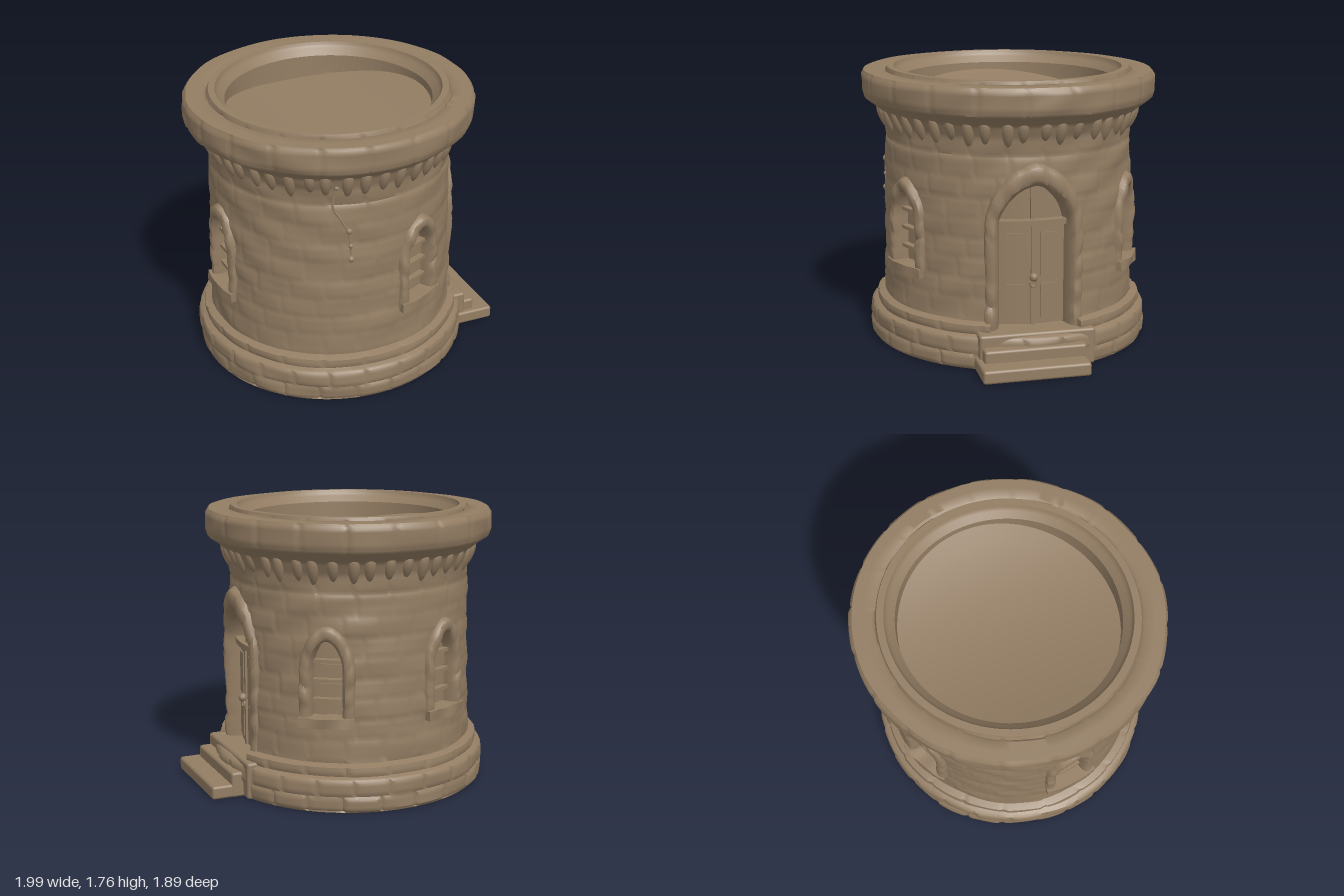
import * as THREE from 'three';
import { mergeVertices, toCreasedNormals } from 'three/addons/utils/BufferGeometryUtils.js';
import { RoundedBoxGeometry } from 'three/addons/geometries/RoundedBoxGeometry.js';

const stone = new THREE.MeshStandardMaterial({ color: 0x937d63 });
stone.name = 'stone';
const rad = THREE.MathUtils.degToRad;

// Angles run from the front (+z) towards the model's left (+x).
const WINDOWS = [56, -51, -123, 178].map(rad);
const DOOR = rad(120.5);
const STRETCH = 0.96; // the tower is slightly narrower across x
const CENTRE_X = -0.093;

const hash = (a, b) => {
  const s = Math.sin(a * 127.1 + b * 311.7) * 43758.5453;
  return s - Math.floor(s);
};
const lumps = (x, y, z) =>
  Math.sin(x * 9 + y * 4) * Math.sin(y * 11 + z * 5) * 0.6 + Math.sin(z * 17 + x * 8 + y * 13) * 0.4;

function mesh(name, geometry, parent) {
  const m = new THREE.Mesh(geometry, stone);
  m.name = name;
  parent.add(m);
  return m;
}

// Move every vertex by a rule
function deform(geometry, rule) {
  const p = geometry.attributes.position;
  const v = new THREE.Vector3();
  for (let i = 0; i < p.count; i++) {
    rule(v.fromBufferAttribute(p, i));
    p.setXYZ(i, v.x, v.y, v.z);
  }
  return geometry;
}

function crease(geometry, angle = 0.7) {
  geometry.deleteAttribute('normal');
  geometry.deleteAttribute('uv');
  return toCreasedNormals(mergeVertices(geometry, 1e-5), angle);
}

// Wrap a flat part around the tower: x becomes arc length, z becomes radius
function wrap(geometry, angle, wobble = 0) {
  return crease(deform(geometry, (v) => {
    const a = angle + v.x / 0.8;
    const r = v.z + wobble * lumps(v.x * 3 + angle, v.y * 2.5, v.z);
    v.set(r * Math.sin(a), v.y + wobble * 0.6 * lumps(v.y, v.x * 3, angle), r * Math.cos(a));
  }));
}

function wrappedBox(name, parent, angle, [x, y, r], [w, h, d], wobble = 0) {
  const g = new THREE.BoxGeometry(w, h, d, Math.ceil(w / 0.04), Math.ceil(h / 0.06), 1).translate(x, y, r);
  return mesh(name, wrap(g, angle, wobble), parent);
}

const WINDOW_ARCH = { half: 0.1, base: 0.53, spring: 0.84, apex: 1.03, depth: 0.735 };
const DOOR_ARCH = { half: 0.232, base: 0.23, spring: 0.86, apex: 1.13, depth: 0.7 };

function insideArch(a, alpha, y, o) {
  const d = Math.atan2(Math.sin(a - alpha), Math.cos(a - alpha)) * 0.8;
  if (y < o.base || y > o.apex + 0.02) return false;
  const t = Math.max(0, (y - o.spring) / (o.apex + 0.02 - o.spring));
  return Math.abs(d) < (o.half + 0.025) * Math.sqrt(1 - t * t);
}

// Masonry relief: grooves between blocks and a small offset per block
function masonry(a, y, y0, height, count, depth) {
  const row = Math.floor((y - y0) / height);
  const fy = (y - y0) / height - row;
  const u = (a / (2 * Math.PI) + 0.5) * count + hash(row, 3);
  const col = Math.floor(u);
  const dx = Math.min(u - col, 1 - u + col) * 5 / count;
  const dy = Math.min(fy, 1 - fy) * height;
  const groove = Math.exp(-((Math.min(dx, dy) / 0.012) ** 2));
  return depth * (hash(row, ((col % count) + count) % count) - 0.5 - groove);
}

function towerGeometry() {
  const profile = [
    [0, 0], [0.895, 0], [0.91, 0.02], [0.915, 0.1], [0.91, 0.2], [0.875, 0.215], [0.87, 0.27], [0.83, 0.285],
    [0.82, 0.32], [0.81, 0.7], [0.797, 1.3], [0.79, 1.31], [0.8, 1.42], [0.835, 1.5], [0.885, 1.54], [0.93, 1.57],
    [0.943, 1.61], [0.945, 1.71], [0.925, 1.74], [0.805, 1.742], [0.79, 1.73], [0.778, 1.76], [0.735, 1.76],
    [0.725, 1.735], [0.675, 1.685], [0.672, 1.54], [0, 1.54],
  ];
  const points = [new THREE.Vector2(0, 0)];
  for (let i = 1; i < profile.length; i++) {
    const a = new THREE.Vector2(...profile[i - 1]);
    const b = new THREE.Vector2(...profile[i]);
    const n = Math.ceil(a.distanceTo(b) / (Math.abs(a.y - b.y) < 0.005 ? 0.1 : 0.02));
    for (let k = 1; k <= n; k++) points.push(a.clone().lerp(b, k / n));
  }
  return crease(deform(new THREE.LatheGeometry(points, 320), (v) => {
    let r = Math.hypot(v.x, v.z);
    if (r < 0.6725) {
      // basin floor rising like a saddle towards two opposite sides
      if (v.y > 1 && v.y < 1.541) v.y += 0.22 * (0.82 * v.x - 0.57 * v.z) ** 2;
      return;
    }
    if (r < 0.785) return;
    const a = Math.round(Math.atan2(v.x, v.z) * 1e5) / 1e5;
    const y = v.y;
    if (y > 0.001) {
      if (y < 0.21) r += masonry(a, y, -0.005, 0.105, 24, 0.011);
      else if (y < 0.29) r += masonry(a, y, 0.21, 0.08, 20, 0.011);
      else if (y < 1.36) r += masonry(a, y, 0.3, 0.125, 22, 0.005);
      else if (y > 1.55 && y < 1.735) r += masonry(a, y, 1.54, 0.21, 20, 0.009);
      r += 0.006 * lumps(v.x, y * 2, v.z);
    }
    // recesses behind the windows and the door
    for (const w of WINDOWS) if (insideArch(a, w, y, WINDOW_ARCH)) r = WINDOW_ARCH.depth;
    if (insideArch(a, DOOR, y, DOOR_ARCH)) r = DOOR_ARCH.depth;
    v.x = r * Math.sin(a);
    v.z = r * Math.cos(a);
  }), 0.75);
}

// Outline of an arch from the right foot over the top to the left foot
function archPath(half, base, spring, top, fullness) {
  const path = new THREE.CurvePath();
  const V = (x, y) => new THREE.Vector2(x, y);
  const k = spring + (top - spring) * fullness;
  path.add(new THREE.LineCurve(V(half, base), V(half, spring)));
  path.add(new THREE.CubicBezierCurve(V(half, spring), V(half, k), V(half * 0.4, top), V(0, top)));
  path.add(new THREE.CubicBezierCurve(V(0, top), V(-half * 0.4, top), V(-half, k), V(-half, spring)));
  path.add(new THREE.LineCurve(V(-half, spring), V(-half, base)));
  return path.getSpacedPoints(60);
}

// Stone surround of an arched opening: a box bent along the arch, swelling per block
function archFrame(name, parent, angle, o, width, top, outer, blocks) {
  const inner = archPath(o.half, o.base, o.spring, o.apex, 0.5);
  const rim = archPath(o.half + width, o.base, o.spring, top, 0.6);
  const g = deform(new THREE.BoxGeometry(1, 1, 1, 6, 60, 2), (v) => {
    const i = Math.round((v.y + 0.5) * 60);
    const u = (i / 60) * blocks;
    const block = Math.floor(u - 1e-6);
    const joint = Math.abs(Math.sin(u * Math.PI)) ** 0.4;
    const size = 0.009 * (joint - 1) + 0.012 * (hash(block, angle) - 0.5);
    const p = inner[i].clone().lerp(rim[i], v.x + 0.5 + (v.x > 0 ? size * 4 * v.x : 0));
    const swell = 1 - 0.3 * Math.abs(v.x * 2) ** 4;
    v.set(p.x, p.y, o.depth - 0.01 + (outer + size - o.depth) * (v.z + 0.5) * swell);
  });
  mesh(name, wrap(g, angle, 0.006), parent);
}

export function createModel() {
  const model = new THREE.Group();
  model.name = 'tower';
  const round = new THREE.Group();
  round.name = 'roundTower';
  round.scale.x = STRETCH;
  round.position.x = CENTRE_X;
  model.add(round);
  mesh('wall', towerGeometry(), round);

  // Tapered corbels hanging under the rim
  const corbel = crease(deform(new THREE.SphereGeometry(1, 10, 8), (v) => {
    v.x *= 1 + 0.25 * v.y;
    v.z *= 1 + 0.2 * v.y;
  }), 1.2);
  for (let i = 0; i < 44; i++) {
    const a = (i + 0.25 * hash(i, 1)) / 44 * Math.PI * 2;
    const long = 0.075 + 0.025 * hash(i, 2);
    const c = mesh('corbel', corbel, round);
    c.scale.set(0.037, long, 0.034);
    c.position.set(0.808 * Math.sin(a), 1.545 - long, 0.808 * Math.cos(a));
    c.rotation.set(0.3, a, 0, 'YXZ');
  }

  // Windows with sills and shutter slats
  for (const a of WINDOWS) {
    const win = new THREE.Group();
    win.name = 'window';
    round.add(win);
    archFrame('windowFrame', win, a, WINDOW_ARCH, 0.08, 1.12, 0.85, 11);
    wrappedBox('windowSill', win, a, [0, 0.535, 0.79], [0.34, 0.06, 0.13], 0.008);
    for (const y of [0.66, 0.78, 0.9]) wrappedBox('slat', win, a, [0, y, 0.755], [0.19, 0.022, 0.05]);
    for (const y of [0.61, 0.72, 0.84]) wrappedBox('shutterBoard', win, a, [0.02, y, 0.737], [0.15, 0.075, 0.025]);
  }

  // Double door with panels, transom and handle
  const door = new THREE.Group();
  door.name = 'door';
  round.add(door);
  archFrame('doorFrame', door, DOOR, DOOR_ARCH, 0.085, 1.27, 0.85, 15);
  for (const side of [-1, 1]) {
    wrappedBox('doorLeaf', door, DOOR, [side * 0.118, 0.56, 0.71], [0.22, 0.64, 0.03]);
    wrappedBox('upperPanel', door, DOOR, [side * 0.118, 0.69, 0.725], [0.125, 0.27, 0.02]);
    wrappedBox('lowerPanel', door, DOOR, [side * 0.118, 0.39, 0.725], [0.125, 0.22, 0.02]);
  }
  wrappedBox('doorPost', door, DOOR, [0, 0.56, 0.725], [0.025, 0.64, 0.03]);
  wrappedBox('transom', door, DOOR, [0, 0.89, 0.73], [0.45, 0.035, 0.06]);
  wrappedBox('fanlightBar', door, DOOR, [0, 1.01, 0.71], [0.025, 0.22, 0.03]);
  mesh('doorHandle', wrap(new THREE.SphereGeometry(0.028, 10, 8).translate(0, 0.55, 0.755), DOOR), door);
  mesh('handleRing', wrap(new THREE.TorusGeometry(0.022, 0.008, 6, 12).translate(0, 0.51, 0.75), DOOR), door);

  // Crack running down the front of the wall
  const crack = new THREE.CatmullRomCurve3(
    [[0.19, 1.44], [0.16, 1.31], [0.21, 1.22], [0.26, 1.12], [0.27, 1.04], [0.275, 0.95]]
      .map(([x, y]) => new THREE.Vector3(x, y, 0.8)));
  mesh('crack', wrap(new THREE.TubeGeometry(crack, 30, 0.008, 6), 0), round);
  for (const [x, y, s] of [[0.185, 1.43, 0.018], [0.262, 1.14, 0.02], [0.272, 1.04, 0.016], [0.275, 0.95, 0.022]])
    mesh('crackPebble', wrap(new THREE.SphereGeometry(s, 8, 6).translate(x, y, 0.8), 0), round);

  // Steps up to the door: [name, width, height, sideways shift, front, depth]
  const steps = new THREE.Group();
  steps.name = 'steps';
  steps.position.set(0.825, 0, -0.5);
  steps.rotation.y = rad(122);
  model.add(steps);
  for (const [name, w, h, x, front, d] of [
    ['lowerStep', 0.67, 0.085, 0.01, 0, 0.3],
    ['upperStep', 0.64, 0.16, 0.03, -0.125, 0.25],
    ['landing', 0.73, 0.232, 0.06, -0.2, 0.22],
  ]) {
    const g = new RoundedBoxGeometry(w, h, d, 3, 0.018).translate(x, h / 2, front - d / 2);
    mesh(name, g, steps);
  }
  return model;
}
